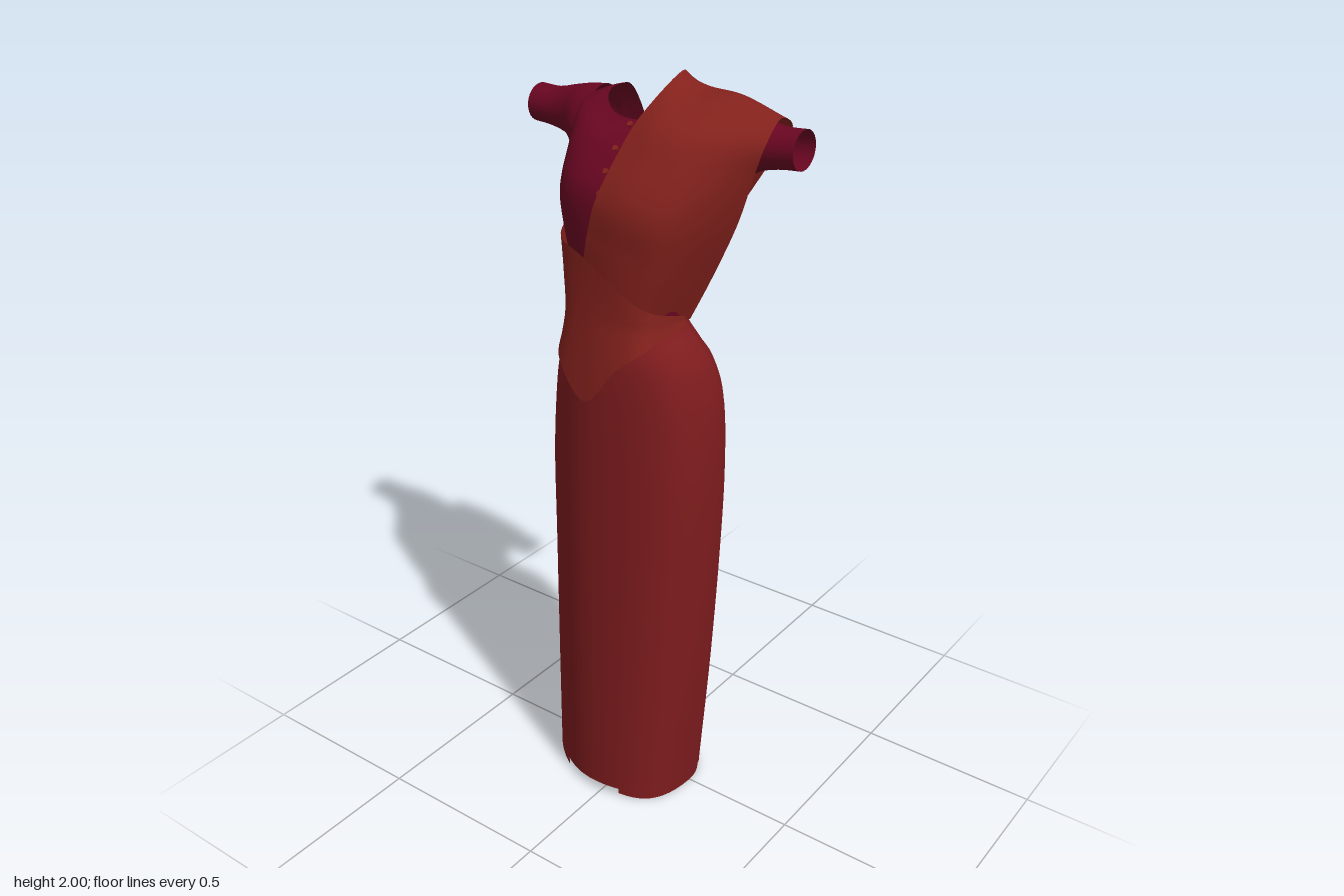
import * as THREE from 'three';
import { mergeVertices } from 'three/addons/utils/BufferGeometryUtils.js';

const mat = (name, color) => {
  const m = new THREE.MeshStandardMaterial({ color, side: THREE.DoubleSide });
  m.name = name;
  return m;
};

// Smooth interpolation through the rows of a table, t from 0 to 1
function blend(table, t) {
  const n = table.length - 1;
  const f = Math.min(Math.max(t, 0), 1) * n;
  const i = Math.min(Math.floor(f), n - 1), s = f - i;
  const row = k => table[Math.min(Math.max(k, 0), n)];
  const [a, b, c, d] = [row(i - 1), row(i), row(i + 1), row(i + 2)];
  return b.map((_, k) => b[k] + 0.5 * s * (c[k] - a[k] + s * (2 * a[k] - 5 * b[k] + 4 * c[k] - d[k]
    + s * (3 * (b[k] - c[k]) + d[k] - a[k]))));
}

// Grid surface from a point function fn(u, v); cells whose middle is inside a hole are left out
function surface(name, fn, nu, nv, material, hole = () => false) {
  const pos = [], index = [];
  for (let j = 0; j <= nv; j++)
    for (let i = 0; i <= nu; i++) pos.push(...fn(i / nu, j / nv));
  for (let j = 0; j < nv; j++)
    for (let i = 0; i < nu; i++) {
      if (hole(...fn((i + 0.5) / nu, (j + 0.5) / nv))) continue;
      const a = j * (nu + 1) + i, b = a + 1, c = a + nu + 1, d = c + 1;
      index.push(a, c, b, b, c, d);
    }
  let g = new THREE.BufferGeometry();
  g.setAttribute('position', new THREE.Float32BufferAttribute(pos, 3));
  g.setIndex(index);
  g = mergeVertices(g, 1e-5);
  g.computeVertexNormals();
  const mesh = new THREE.Mesh(g, material);
  mesh.name = name;
  return mesh;
}

// Point on a body ring: [ySide, yFront, yBack, xRight, xLeft, zMid, zFront, zBack]
function ringPoint([yS, yF, yB, xR, xL, zM, zF, zB], a, p, off = 0) {
  const c = Math.cos(a), s = Math.sin(a);
  const cp = Math.abs(c) ** p, sp = Math.abs(s) ** p;
  return [
    c > 0 ? (xL + off) * cp : (xR - off) * cp,
    yS + ((s > 0 ? yF : yB) - yS) * s * s,
    zM + (s > 0 ? (zF + off - zM) * sp : (zB - off - zM) * sp),
  ];
}

// Cloth patch: each row holds four points across the cloth
function patch(name, rows, material, nu, nv) {
  return surface(name, (u, v) => {
    const r = blend(rows, v);
    return blend([0, 3, 6, 9].map(k => r.slice(k, k + 3)), u);
  }, nu, nv, material);
}

const BODICE = [
  [1.43, 1.43, 1.44, -0.15, 0.143, 0.03, 0.13, -0.078],
  [1.50, 1.50, 1.50, -0.157, 0.155, 0.02, 0.135, -0.112],
  [1.60, 1.60, 1.58, -0.187, 0.185, 0, 0.145, -0.148],
  [1.70, 1.70, 1.64, -0.205, 0.20, -0.02, 0.153, -0.167],
  [1.76, 1.76, 1.67, -0.203, 0.20, -0.04, 0.145, -0.176],
  [1.82, 1.81, 1.69, -0.203, 0.20, -0.07, 0.115, -0.181],
  [1.88, 1.85, 1.70, -0.203, 0.20, -0.09, 0.08, -0.183],
  [1.92, 1.87, 1.71, -0.19, 0.185, -0.09, 0.055, -0.184],
  [1.94, 1.885, 1.715, -0.155, 0.15, -0.09, 0.033, -0.185],
  [1.95, 1.90, 1.72, -0.12, 0.115, -0.09, 0.015, -0.185],
];

// Skirt rows: [y, xRight, xLeft, zMid, zFront, zBack]
const SKIRT = [
  [0.015, -0.25, 0.187, 0, 0.197, -0.163],
  [0.25, -0.25, 0.205, 0, 0.195, -0.163],
  [0.5, -0.25, 0.223, 0, 0.192, -0.165],
  [0.75, -0.25, 0.237, 0, 0.188, -0.17],
  [1.0, -0.25, 0.245, 0, 0.184, -0.178],
  [1.2, -0.235, 0.237, 0, 0.18, -0.186],
  [1.3, -0.212, 0.217, 0.01, 0.176, -0.155],
  [1.36, -0.185, 0.19, 0.02, 0.168, -0.11],
  [1.42, -0.16, 0.152, 0.03, 0.148, -0.08],
  [1.45, -0.158, 0.152, 0.03, 0.142, -0.09],
];

// Sash: from the front waist, over the left shoulder, across the back to the right waist
const SASH = [
  [-0.05, 1.59, 0.16, 0.04, 1.53, 0.162, 0.11, 1.47, 0.125, 0.152, 1.43, 0],
  [-0.035, 1.65, 0.165, 0.06, 1.62, 0.165, 0.15, 1.58, 0.122, 0.20, 1.54, -0.02],
  [-0.01, 1.74, 0.163, 0.08, 1.73, 0.165, 0.18, 1.70, 0.122, 0.26, 1.68, -0.03],
  [0.015, 1.84, 0.11, 0.1, 1.83, 0.115, 0.2, 1.81, 0.083, 0.30, 1.80, -0.03],
  [0.03, 1.92, 0.035, 0.1, 1.915, 0.05, 0.2, 1.90, 0.03, 0.325, 1.88, -0.038],
  [0.05, 2.0, -0.1, 0.1, 1.965, -0.09, 0.2, 1.957, -0.09, 0.325, 1.928, -0.1],
  [0.02, 1.95, -0.16, 0.1, 1.945, -0.168, 0.2, 1.935, -0.165, 0.32, 1.89, -0.16],
  [-0.015, 1.87, -0.19, 0.08, 1.84, -0.196, 0.18, 1.81, -0.188, 0.25, 1.78, -0.16],
  [-0.06, 1.77, -0.193, 0.02, 1.73, -0.195, 0.1, 1.68, -0.184, 0.16, 1.64, -0.15],
  [-0.12, 1.69, -0.178, -0.06, 1.63, -0.176, -0.01, 1.57, -0.157, 0.06, 1.5, -0.125],
  [-0.2, 1.63, -0.06, -0.175, 1.58, -0.09, -0.145, 1.5, -0.085, -0.09, 1.44, -0.09],
  [-0.203, 1.635, 0.03, -0.192, 1.57, 0.03, -0.172, 1.5, 0.03, -0.162, 1.42, 0.03],
];

// Pointed wrap over the front of the waist
const WRAP = [
  [-0.203, 1.635, 0.02, -0.187, 1.55, 0.02, -0.167, 1.45, 0.03, -0.195, 1.36, 0.05],
  [-0.15, 1.615, 0.122, -0.14, 1.53, 0.127, -0.13, 1.43, 0.137, -0.14, 1.31, 0.155],
  [-0.05, 1.59, 0.16, -0.05, 1.5, 0.162, -0.045, 1.4, 0.17, -0.03, 1.23, 0.195],
  [0.06, 1.52, 0.16, 0.06, 1.46, 0.16, 0.06, 1.42, 0.163, 0.06, 1.33, 0.184],
  [0.125, 1.475, 0.12, 0.125, 1.46, 0.122, 0.125, 1.43, 0.127, 0.125, 1.385, 0.15],
  [0.16, 1.45, 0.03, 0.16, 1.445, 0.03, 0.16, 1.44, 0.03, 0.163, 1.43, 0.03],
];

// Sleeve rows: [x, yMid, yRadius, zMid, zRadius]
const SLEEVE = [
  [0.17, 1.82, 0.123, -0.082, 0.092],
  [0.22, 1.842, 0.095, -0.086, 0.083],
  [0.27, 1.86, 0.066, -0.095, 0.061],
  [0.33, 1.862, 0.05, -0.098, 0.052],
  [0.39, 1.865, 0.048, -0.1, 0.051],
];

export function createModel() {
  const blouse = mat('blouse maroon', 0x6a0622);
  const sash = mat('sash red', 0x83211c);
  const skirt = mat('skirt red', 0x7f1c1e);
  const model = new THREE.Group();
  model.name = 'dress';

  // Blouse with an open neck and armholes
  const bodice = (a, v) => ringPoint(blend(BODICE, v), a, 0.92 - 0.3 * Math.min(1, v * 1.3));
  const armhole = (x, y, z) =>
    Math.abs(x) > 0.17 && ((y - 1.86) / 0.07) ** 2 + ((z + 0.095) / 0.07) ** 2 < 1;
  model.add(surface('bodice', (u, v) => bodice(u * Math.PI * 2, v), 96, 63, blouse, armhole));

  // Short open sleeves
  for (const side of [1, -1])
    model.add(surface(side > 0 ? 'leftSleeve' : 'rightSleeve', (u, v) => {
      const [x, y, ry, z, rz] = blend(SLEEVE, v), a = u * Math.PI * 2 * side;
      return [side * x, y + ry * Math.cos(a), z + rz * Math.sin(a)];
    }, 32, 16, blouse));

  // Buttons down the front
  for (const v of [0.92, 0.65, 0.53, 0.43]) {
    const p = new THREE.Vector3(...bodice(Math.PI / 2, v));
    const q = new THREE.Vector3(...bodice(Math.PI / 2, v + 0.02)).sub(p);
    const normal = new THREE.Vector3(0, -q.z, q.y).normalize();
    const button = new THREE.Mesh(new THREE.CylinderGeometry(0.007, 0.007, 0.006, 12), sash);
    button.name = 'button';
    button.position.copy(p).addScaledVector(normal, 0.002);
    button.position.x = -0.008;
    button.quaternion.setFromUnitVectors(new THREE.Vector3(0, 1, 0), normal);
    model.add(button);
  }

  // Skirt in two overlapping panels, gathered at the back of the waist
  const panel = (name, from, to, liftFrom, liftTo, hem, slope) => model.add(surface(name, (u, v) => {
    const [y, xR, xL, zM, zF, zB] = blend(SKIRT, v);
    const a = THREE.MathUtils.degToRad(from + (to - from) * u);
    const gather = THREE.MathUtils.smoothstep(y, 1.15, 1.38) * Math.max(0, -Math.sin(a));
    const lift = (liftFrom + (liftTo - liftFrom) * u) * (1 - 0.6 * v);
    const off = lift + 0.006 * gather * Math.sin(a * 16 + 2 * Math.sin(a * 5));
    const p = ringPoint([y, y, y, xR, xL, zM, zF, zB], a, 0.92 - 0.14 * Math.sin(2 * a), off);
    p[1] += (hem + slope * p[0]) * (1 - THREE.MathUtils.smoothstep(y, 0, 0.4));
    return p;
  }, 120, 50, skirt));
  panel('frontSkirtPanel', -14, 150, 0, -0.004, 0.02, 0.06);
  panel('backSkirtPanel', 122, 435, 0.004, -0.014, 0, -0.06);

  model.add(patch('shoulderSash', SASH, sash, 18, 77));
  model.add(patch('waistWrap', WRAP, sash, 18, 40));
  return model;
}
